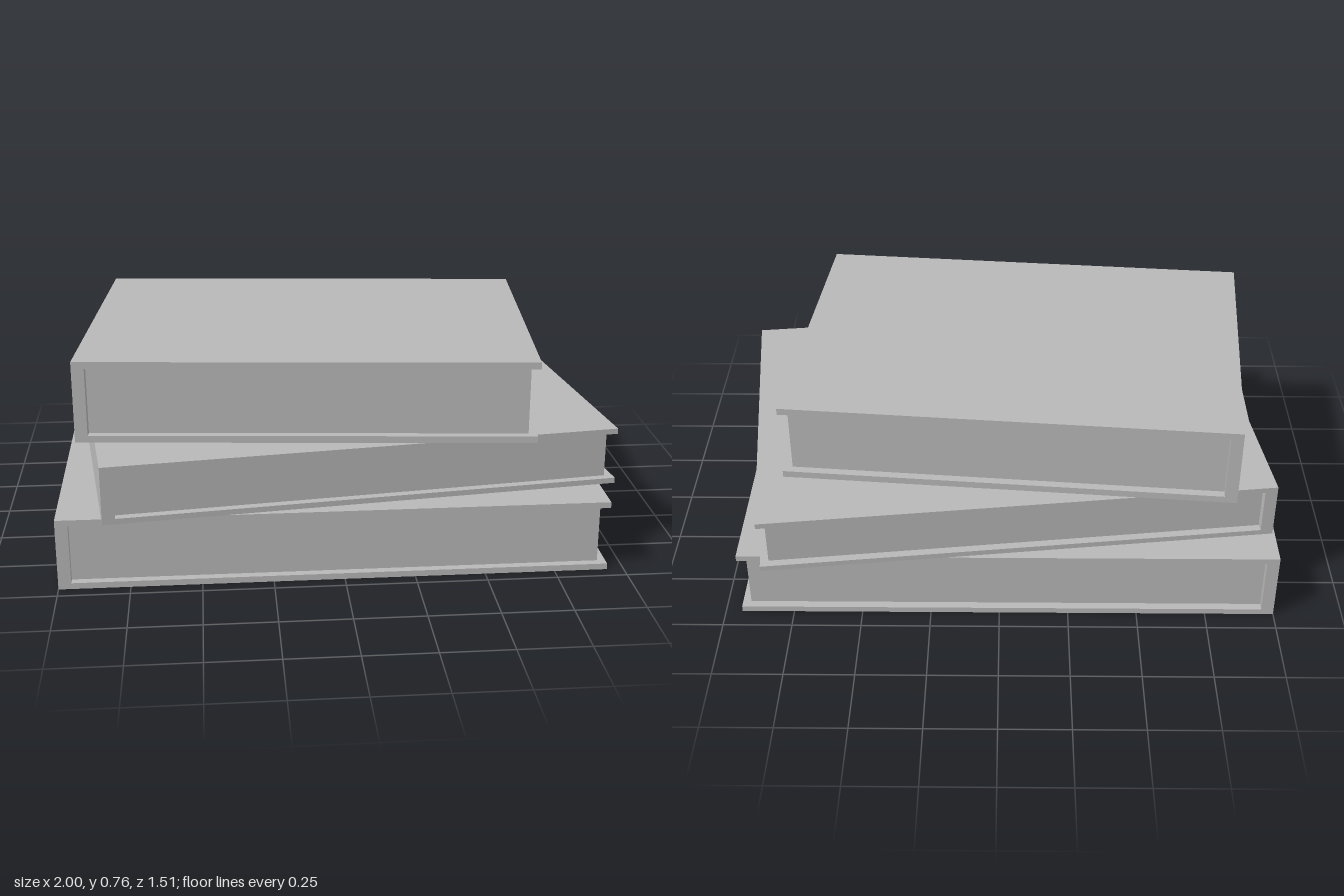
import * as THREE from 'three';

const coverMaterial = new THREE.MeshStandardMaterial({ color: 0xb8b8b8 });
coverMaterial.name = 'plain grey';

const SPINE = 0.045; // spine thickness
const INSET = 0.03;  // how far the pages sit back from the cover edges

// One closed book lying flat, its spine towards -x
function makeBook(name, { width, depth, height, board, x, y, z, turn }) {
  const book = new THREE.Group();
  book.name = name;

  // Two boards and the spine as a single C-shaped section, extruded along z
  const w = width / 2;
  const section = new THREE.Shape([
    [-w, 0], [w, 0], [w, board], [-w + SPINE, board],
    [-w + SPINE, height - board], [w, height - board], [w, height], [-w, height],
  ].map(([px, py]) => new THREE.Vector2(px, py)));
  const coverGeometry = new THREE.ExtrudeGeometry(section, { depth, bevelEnabled: false });
  coverGeometry.translate(0, 0, -depth / 2);
  const cover = new THREE.Mesh(coverGeometry, coverMaterial);
  cover.name = 'cover';

  // Page block between the boards
  const pages = new THREE.Mesh(
    new THREE.BoxGeometry(width - SPINE - INSET, height - 2 * board, depth - 2 * INSET),
    coverMaterial,
  );
  pages.position.set((SPINE - INSET) / 2, height / 2, 0);
  pages.name = 'pages';

  book.add(cover, pages);
  book.position.set(x, y, z);
  book.rotation.y = turn;
  return book;
}

export function createModel() {
  const stack = new THREE.Group();
  stack.name = 'bookStack';
  stack.add(
    makeBook('bottomBook', { width: 1.94, depth: 1.375, height: 0.26, board: 0.022, x: -0.03, y: 0, z: 0.012, turn: 0 }),
    makeBook('middleBook', { width: 1.845, depth: 1.29, height: 0.21, board: 0.02, x: 0.003, y: 0.26, z: -0.002, turn: 0.1222 }),
    makeBook('topBook', { width: 1.616, depth: 1.13, height: 0.295, board: 0.025, x: -0.077, y: 0.47, z: 0.012, turn: -0.0868 }),
  );
  return stack;
}
